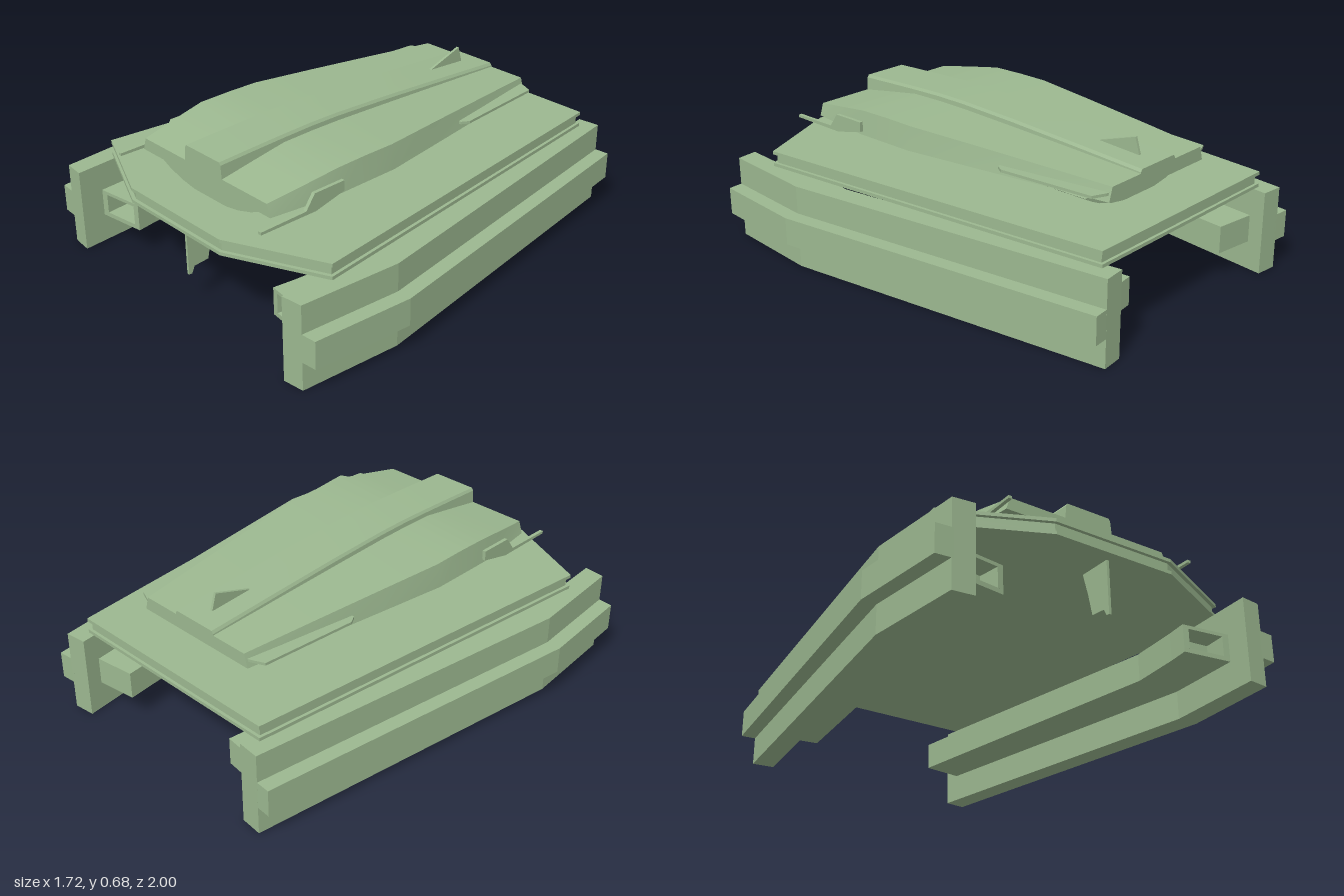
import * as THREE from 'three';
import { toCreasedNormals } from 'three/addons/utils/BufferGeometryUtils.js';

const green = new THREE.MeshStandardMaterial({ color: 0x9cb890 });

function add(parent, name, geometry) {
  const mesh = new THREE.Mesh(geometry, green);
  mesh.name = name;
  parent.add(mesh);
  return mesh;
}

const shapeOf = (pts) => new THREE.Shape(pts.map(([a, b]) => new THREE.Vector2(a, b)));
const extrude = (pts, depth) => new THREE.ExtrudeGeometry(shapeOf(pts), { depth, bevelEnabled: false });

// Horizontal plate: plan outline of [x, z], between heights y0 and y1
const plate = (pts, y0, y1) => extrude(pts, y1 - y0).rotateX(Math.PI / 2).translate(0, y1, 0);

// Upright plate: side outline of [z, y], centred on x with the given thickness
const blade = (pts, x, t) => extrude(pts, t).rotateY(-Math.PI / 2).translate(x + t / 2, 0, 0);

// Mirror half an outline across x = 0
const mirrored = (half) => [...half, ...half.map(([x, b]) => [-x, b]).reverse()];

// Skin closed rings (counter-clockwise seen from the front), ordered front to back
function loft(rings) {
  const pos = [];
  const tri = (...p) => p.forEach((v) => pos.push(...v));
  const n = rings[0].length;
  for (let r = 0; r < rings.length - 1; r++) {
    for (let i = 0; i < n; i++) {
      const j = (i + 1) % n;
      const a = rings[r][i], b = rings[r][j], c = rings[r + 1][j], d = rings[r + 1][i];
      tri(a, d, c);
      tri(a, c, b);
    }
  }
  const front = rings[0], back = rings[rings.length - 1];
  for (let i = 1; i < n - 1; i++) {
    tri(front[0], front[i], front[i + 1]);
    tri(back[0], back[i + 1], back[i]);
  }
  const g = new THREE.BufferGeometry();
  g.setAttribute('position', new THREE.Float32BufferAttribute(pos, 3));
  return toCreasedNormals(g, 0.35);
}

function createHull() {
  const hull = new THREE.Group();
  hull.name = 'hull';
  const rim = mirrored([[0.53, -0.925], [0.71, 0.79], [0.285, 0.98]]);
  const core = mirrored([[0.518, -0.912], [0.695, 0.78], [0.28, 0.965]]);
  add(hull, 'lowerRim', plate(rim, 0.375, 0.39));
  add(hull, 'hullCore', plate(core, 0.39, 0.43));
  add(hull, 'upperRim', plate(rim, 0.43, 0.445));
  // Fin hanging below the nose
  add(hull, 'keelFin', blade([[0.93, 0.38], [0.93, 0.14], [0.915, 0.14], [0.9, 0.17],
    [0.83, 0.175], [0.81, 0.27], [0.78, 0.38]], 0, 0.012));
  return hull;
}

function createSidePod(s) {
  const pod = new THREE.Group();
  pod.name = s > 0 ? 'leftPod' : 'rightPod';
  const slab = (name, pts, y0, y1) => add(pod, name, plate(pts.map(([x, z]) => [s * x, z]), y0, y1));
  slab('podWall', [[0.585, -0.995], [0.795, 0.53], [0.755, 0.985],
    [0.66, 0.995], [0.695, 0.53], [0.487, -0.985]], 0, 0.375);
  slab('outerRail', [[0.65, -1], [0.862, 0.53], [0.822, 0.98],
    [0.745, 0.986], [0.785, 0.53], [0.575, -0.994]], 0.127, 0.25);
  slab('innerRail', [[0.505, -0.915], [0.7, 0.53], [0.682, 0.78],
    [0.46, 0.76], [0.485, 0.53], [0.312, -0.89]], 0.127, 0.25);
  // Open front end of the inner rail
  const mouth = [[0.682, 0.78], [0.67, 0.885], [0.445, 0.855], [0.46, 0.76]];
  slab('mouthFloor', mouth, 0.127, 0.147);
  slab('mouthRoof', mouth, 0.235, 0.25);
  slab('mouthInnerWall', [[0.485, 0.762], [0.472, 0.859], [0.445, 0.855], [0.46, 0.76]], 0.147, 0.235);
  slab('mouthOuterWall', [[0.682, 0.78], [0.67, 0.885], [0.638, 0.881], [0.65, 0.777]], 0.147, 0.235);
  return pod;
}

function createTurret() {
  const turret = new THREE.Group();
  turret.name = 'turret';

  // Curved underside resting on the hull
  const bowl = mirrored([[0.1, 0.445], [0.18, 0.458], [0.26, 0.482], [0.31, 0.505], [0.35, 0.528]]);
  add(turret, 'turretBase', toCreasedNormals(extrude(bowl, 1.49).translate(0, 0, -0.69), 0.5));

  // Stations: z, half width, deck height, spine height
  const stations = [
    [0.825, 0.405, 0.58, 0.65], [0.66, 0.428, 0.606, 0.656], [0.5, 0.446, 0.63, 0.661],
    [0.35, 0.446, 0.632, 0.664], [0.2, 0.446, 0.63, 0.662], [-0.1, 0.405, 0.618, 0.648],
    [-0.45, 0.356, 0.602, 0.626], [-0.778, 0.31, 0.586, 0.604],
  ];
  add(turret, 'turretDeck', loft(stations.map(([z, w, y]) =>
    [[-w, 0.525, z], [w, 0.525, z], [w - 0.018, y, z], [-w + 0.018, y, z]])));
  add(turret, 'turretSpine', loft(stations.map(([z, , , y]) =>
    [[-0.122, 0.53, z], [0.122, 0.53, z], [0.113, y - 0.012, z], [0.105, y, z],
      [-0.105, y, z], [-0.113, y - 0.012, z]])));

  // Rear dorsal fin
  add(turret, 'dorsalFin', blade([[-0.47, 0.62], [-0.665, 0.683], [-0.69, 0.6], [-0.47, 0.6]], 0, 0.012));

  for (const s of [1, -1]) {
    // Thin stabiliser blades along the rear flanks
    add(turret, 'sideVane', plate([[0.28, -0.775], [0.315, -0.765], [0.372, -0.74],
      [0.406, -0.3], [0.385, -0.265], [0.36, -0.265]].map(([x, z]) => [s * x, z]), 0.55, 0.562));
    // Side guns with slim barrels
    add(turret, 'sideGun', blade([[0.49, 0.585], [0.645, 0.585], [0.69, 0.523], [0.915, 0.521],
      [0.915, 0.509], [0.64, 0.506], [0.49, 0.54]], s * 0.45, 0.016));
  }
  return turret;
}

export function createModel() {
  const model = new THREE.Group();
  model.name = 'hoverTank';
  model.add(createHull(), createSidePod(1), createSidePod(-1), createTurret());
  return model;
}
